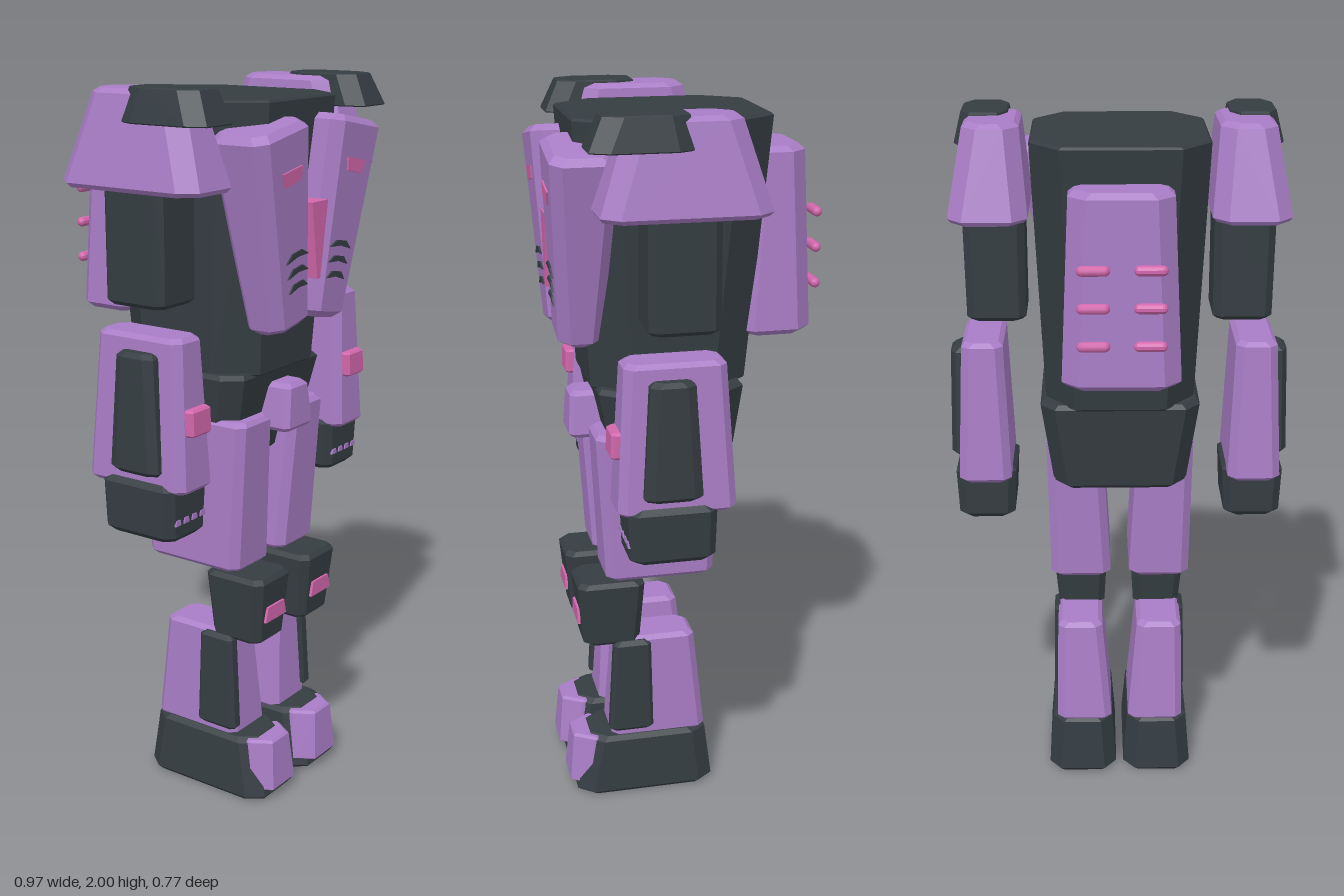
import * as THREE from 'three';

const mats = {
  purple: new THREE.MeshStandardMaterial({ color: 0xa97dc6 }),
  dark: new THREE.MeshStandardMaterial({ color: 0x353d42 }),
  pink: new THREE.MeshStandardMaterial({ color: 0xd267ac }),
};
mats.purple.name = 'purple armour';
mats.dark.name = 'dark frame';
mats.pink.name = 'pink accent';

// Tapered block with chamfered corners and bevelled rims.
// lower / upper = [y, x0, x1, z0, z1]; cx, cz = corner chamfer; bev = rim bevel
function block(lower, upper, cx = 0.02, cz = cx, bev = 0.012) {
  const h = upper[0] - lower[0];
  const ring = (y, inset) => {
    const t = (y - lower[0]) / h;
    const [, a, b, c, d] = lower.map((v, i) => v + (upper[i] - v) * t);
    const x0 = a + inset, x1 = b - inset, z0 = c + inset, z1 = d - inset;
    return [
      [x1, z1 - cz], [x1, z0 + cz], [x1 - cx, z0], [x0 + cx, z0],
      [x0, z0 + cz], [x0, z1 - cz], [x0 + cx, z1], [x1 - cx, z1],
    ].map(([x, z]) => [x, y, z]);
  };
  const rings = [
    ring(lower[0], bev), ring(lower[0] + bev, 0),
    ring(upper[0] - bev, 0), ring(upper[0], bev),
  ];
  const pos = [];
  const tri = (...p) => p.forEach((q) => pos.push(...q));
  for (let r = 0; r < 3; r++) {
    for (let j = 0; j < 8; j++) {
      const k = (j + 1) % 8, p = rings[r], q = rings[r + 1];
      tri(p[j], p[k], q[k]);
      tri(p[j], q[k], q[j]);
    }
  }
  for (let j = 1; j < 7; j++) {
    tri(rings[3][0], rings[3][j], rings[3][j + 1]);
    tri(rings[0][0], rings[0][j + 1], rings[0][j]);
  }
  const g = new THREE.BufferGeometry();
  g.setAttribute('position', new THREE.Float32BufferAttribute(pos, 3));
  g.computeVertexNormals();
  return g;
}

// Flat plate cut from an outline of [x, y] points
function plate(points, depth = 0.008) {
  const s = new THREE.Shape(points.map(([x, y]) => new THREE.Vector2(x, y)));
  return new THREE.ExtrudeGeometry(s, { depth, bevelEnabled: false });
}

// Mirror a geometry across x = 0, keeping faces outward
function mirrored(geo) {
  const g = geo.index ? geo.toNonIndexed() : geo.clone();
  g.scale(-1, 1, 1);
  const p = g.attributes.position;
  const a = new THREE.Vector3(), b = new THREE.Vector3();
  for (let i = 0; i < p.count; i += 3) {
    a.fromBufferAttribute(p, i + 1);
    b.fromBufferAttribute(p, i + 2);
    p.setXYZ(i + 1, b.x, b.y, b.z);
    p.setXYZ(i + 2, a.x, a.y, a.z);
  }
  g.computeVertexNormals();
  return g;
}

export function createModel() {
  const root = new THREE.Group();
  root.name = 'robot';
  const add = (name, geo, mat) => {
    const m = new THREE.Mesh(geo, mats[mat]);
    m.name = name;
    root.add(m);
  };
  const pair = (name, geo, mat) => {
    add('left ' + name, geo, mat);
    add('right ' + name, mirrored(geo), mat);
  };

  // Torso, pelvis and hip guard
  add('torso', block([1.23, -0.205, 0.205, -0.165, 0.265], [1.96, -0.237, 0.237, -0.228, 0.307], 0.08, 0.105, 0.006), 'dark');
  add('pelvis', block([0.98, -0.185, 0.185, -0.12, 0.2], [1.24, -0.222, 0.222, -0.15, 0.255], 0.04, 0.05), 'dark');
  add('hip guard', block([1.065, -0.068, 0.068, 0.2, 0.318], [1.197, -0.05, 0.05, 0.2, 0.31], 0.012), 'purple');

  // Chest wings, leaning outward, with their painted details
  const toWing = (g) => g.rotateZ(-0.178).translate(0.132, 1.632, 0);
  const onWing = (g) => {
    const p = g.attributes.position;
    for (let i = 0; i < p.count; i++) p.setZ(i, p.getZ(i) + 0.364 + 0.056 * p.getY(i));
    return toWing(g);
  };
  pair('chest wing', toWing(block([-0.27, -0.083, 0.083, 0.235, 0.352], [0.27, -0.119, 0.119, 0.2, 0.382], 0.03, 0.03, 0.018)), 'purple');
  pair('chest light', onWing(plate([[-0.042, 0.128], [0.03, 0.124], [0.04, 0.162], [-0.05, 0.162]])), 'pink');
  for (let i = 0; i < 3; i++) {
    const y = -0.068 - i * 0.042, w = 0.052 - i * 0.004;
    pair('chest vent ' + (i + 1), onWing(plate([
      [-0.013 - w, y - 0.01], [-0.013, y - 0.004], [-0.013 + w, y - 0.01],
      [0.01, y + 0.01], [-0.035, y + 0.01],
    ])), 'dark');
  }
  add('chest wedge', plate([[-0.007, 1.49], [0.007, 1.49], [0.038, 1.695], [-0.038, 1.695]], 0.1).translate(0, 0, 0.265), 'pink');

  // Backpack with two columns of studs
  add('backpack', block([1.355, -0.157, 0.157, -0.355, -0.14], [1.867, -0.135, 0.135, -0.335, -0.18], 0.045, 0.045, 0.015), 'purple');
  for (const y of [1.485, 1.585, 1.683]) {
    pair('backpack stud', new THREE.CapsuleGeometry(0.014, 0.058, 4, 10).rotateZ(Math.PI / 2).translate(0.073, y, -0.371), 'pink');
  }

  // Shoulders
  pair('shoulder pad', block([1.742, 0.242, 0.457, -0.163, 0.285], [1.992, 0.265, 0.412, -0.085, 0.2], 0.04, 0.045, 0.012), 'purple');
  pair('shoulder cap', block([1.912, 0.29, 0.447, 0.037, 0.308], [2.0, 0.3, 0.425, 0.053, 0.268], 0.025, 0.05, 0.003), 'dark');

  // Arms
  pair('upper arm', block([1.445, 0.257, 0.42, -0.03, 0.16], [1.82, 0.257, 0.425, -0.03, 0.16], 0.02), 'dark');
  pair('forearm', block([0.975, 0.308, 0.458, -0.067, 0.252], [1.383, 0.325, 0.44, -0.04, 0.228], 0.022), 'purple');
  pair('forearm panel', block([1.02, 0.43, 0.485, 0.03, 0.188], [1.342, 0.42, 0.478, 0.05, 0.168], 0.015, 0.025), 'dark');
  pair('forearm band', block([1.13, 0.338, 0.426, 0.22, 0.265], [1.202, 0.338, 0.426, 0.22, 0.262], 0.008, 0.008, 0.006), 'pink');
  pair('hand', block([0.84, 0.305, 0.465, -0.008, 0.222], [1.0, 0.297, 0.472, -0.012, 0.226], 0.022, 0.022, 0.016), 'dark');
  for (let i = 0; i < 4; i++) {
    const x = 0.331 + i * 0.035;
    pair('knuckle ' + (i + 1), plate([[x - 0.012, 0.89], [x + 0.012, 0.89], [x + 0.008, 0.905], [x - 0.008, 0.905]]).translate(0, 0, 0.219), 'purple');
  }

  // Legs
  pair('thigh', block([0.677, 0.026, 0.2, -0.067, 0.24], [1.112, 0.05, 0.208, -0.08, 0.265], 0.022), 'purple');
  pair('knee', block([0.47, 0.045, 0.183, 0.145, 0.305], [0.67, 0.034, 0.2, 0.13, 0.323], 0.02), 'dark');
  pair('knee plate', plate([[0.066, 0.542], [0.166, 0.542], [0.154, 0.585], [0.076, 0.585]]).translate(0, 0, 0.314), 'pink');
  pair('shin', block([0.17, 0.024, 0.19, -0.047, 0.232], [0.49, 0.053, 0.185, -0.014, 0.21], 0.02), 'purple');
  pair('shin panel', block([0.195, 0.16, 0.203, 0.11, 0.24], [0.482, 0.155, 0.198, 0.115, 0.222], 0.01), 'dark');

  // Feet and toe caps
  pair('foot', block([0.005, 0.01, 0.217, -0.068, 0.338], [0.185, 0.024, 0.203, -0.048, 0.3], 0.035, 0.045), 'dark');
  pair('toe cap', block([0.028, 0.022, 0.2, 0.22, 0.354], [0.177, 0.036, 0.187, 0.22, 0.34], 0.035, 0.055, 0.006), 'purple');

  // Rest the soles on the ground
  root.children.forEach((m) => {
    if (m.name.endsWith(' foot')) m.geometry.translate(0, -0.005, 0);
  });
  return root;
}
